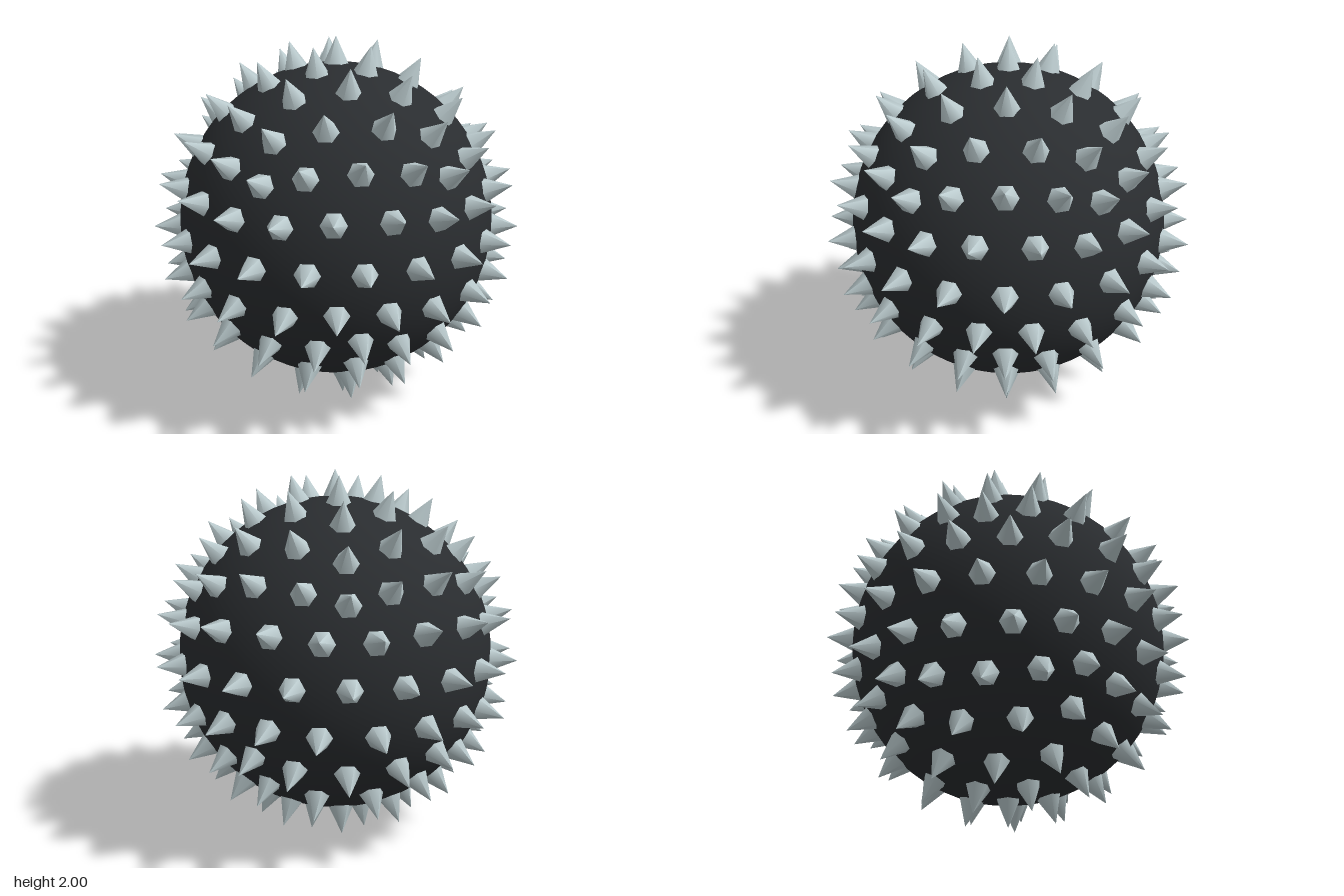
import * as THREE from 'three';

const BALL_RADIUS = 0.86;
const SPIKE_BASE = 0.85; // distance from centre to the spike's base
const SPIKE_RADIUS = 0.068;

// Evenly spread directions: corners of a subdivided icosahedron with one corner at the top
function spikeDirections() {
  const ico = new THREE.IcosahedronGeometry(1, 3);
  ico.rotateZ(-Math.atan(2 / (1 + Math.sqrt(5))));
  const pos = ico.attributes.position;
  const dirs = [];
  for (let i = 0; i < pos.count; i++) {
    const p = new THREE.Vector3().fromBufferAttribute(pos, i).normalize();
    if (!dirs.some((q) => q.distanceTo(p) < 0.05)) dirs.push(p);
  }
  return dirs;
}

export function createModel() {
  const model = new THREE.Group();
  model.name = 'spikedBall';

  const darkMat = new THREE.MeshStandardMaterial({ color: 0x2a2d30 });
  const spikeMat = new THREE.MeshStandardMaterial({ color: 0xbccccf });

  // Smooth dark core
  const ball = new THREE.Mesh(new THREE.SphereGeometry(BALL_RADIUS, 48, 32), darkMat);
  ball.name = 'ball';
  ball.position.y = 1;
  model.add(ball);

  // Six-sided spikes pointing outward
  const height = 1 - SPIKE_BASE;
  const cone = new THREE.ConeGeometry(SPIKE_RADIUS, height, 6);
  cone.translate(0, SPIKE_BASE + height / 2, 0);

  const spikes = new THREE.Group();
  spikes.name = 'spikes';
  spikes.position.y = 1;
  const up = new THREE.Vector3(0, 1, 0);
  for (const dir of spikeDirections()) {
    // One corner of each hexagon lies sideways along its ring
    const side = new THREE.Vector3().crossVectors(up, dir);
    if (side.length() < 0.01) side.set(0, 0, 1);
    side.normalize();
    const across = new THREE.Vector3().crossVectors(dir, side);
    const spike = new THREE.Mesh(cone, spikeMat);
    spike.name = 'spike';
    spike.quaternion.setFromRotationMatrix(new THREE.Matrix4().makeBasis(across, dir, side));
    spikes.add(spike);
  }
  // across x dir must equal side for a proper rotation
  model.add(spikes);
  return model;
}
